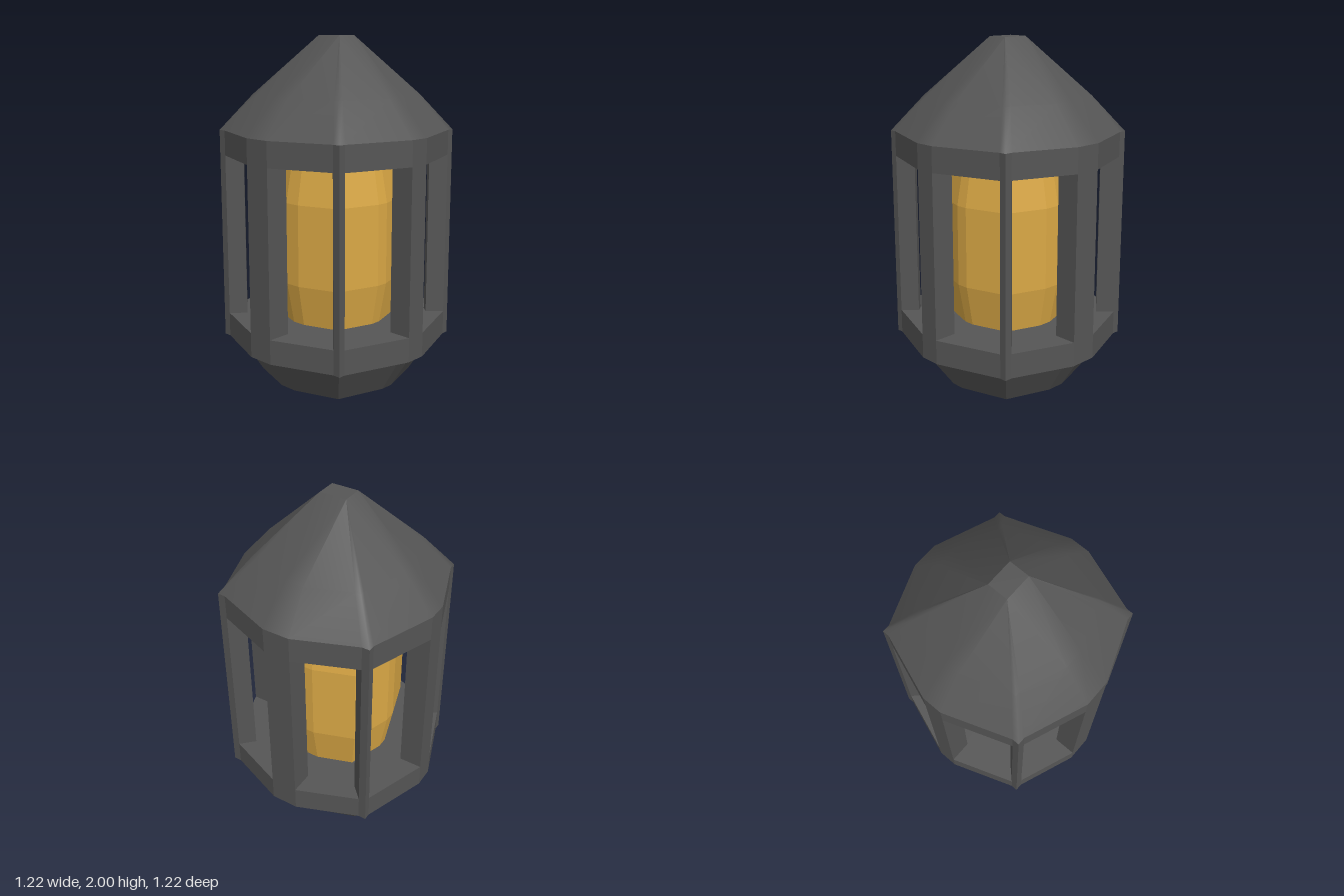
import * as THREE from 'three';

// One quadrant of the outer plan as [x, z]: side flat, square corner, front flat
const QUAD = [[0.61, 0.06], [0.475, 0.435], [0.475, 0.475], [0.43, 0.475], [0.08, 0.61]];
// Simpler plan with a single corner point, for the base and the glowing core
const SIMPLE = [[0.61, 0.06], [0.475, 0.475], [0.08, 0.61]];

// Mirror a polygon by signs, keeping its winding
const mirror = (pts, sx, sz) => {
  const out = pts.map(([x, z]) => [x * sx, z * sz]);
  return sx * sz < 0 ? out.reverse() : out;
};
const fullPlan = (q) => [[1, 1], [-1, 1], [-1, -1], [1, -1]].flatMap(([sx, sz]) => mirror(q, sx, sz));
const scaled = (pts, s) => pts.map(([x, z]) => [x * s, z * s]);

// Side surface through rings of equal point count: rings = [[y, points], ...]
function loftSides(rings, smooth) {
  const pos = [], idx = [], n = rings[0][1].length;
  for (const [y, pts] of rings) for (const [x, z] of pts) pos.push(x, y, z);
  for (let r = 0; r < rings.length - 1; r++) {
    for (let i = 0; i < n; i++) {
      const a = r * n + i, b = r * n + (i + 1) % n;
      idx.push(a, a + n, b, b, a + n, b + n);
    }
  }
  return finish(pos, idx, smooth);
}

// Flat lid on a ring
function cap([y, pts], up) {
  const pos = [], idx = [], n = pts.length;
  for (const [x, z] of pts) pos.push(x, y, z);
  pos.push(pts.reduce((s, p) => s + p[0], 0) / n, y, pts.reduce((s, p) => s + p[1], 0) / n);
  for (let i = 0; i < n; i++) {
    const j = (i + 1) % n;
    if (up) idx.push(n, j, i); else idx.push(n, i, j);
  }
  return finish(pos, idx, false);
}

function finish(pos, idx, smooth) {
  let g = new THREE.BufferGeometry();
  g.setAttribute('position', new THREE.Float32BufferAttribute(pos, 3));
  g.setIndex(idx);
  if (!smooth) g = g.toNonIndexed();
  g.computeVertexNormals();
  return g;
}

export function createModel() {
  const model = new THREE.Group();
  model.name = 'lantern';
  const metal = new THREE.MeshStandardMaterial({ color: 0x555555 });
  metal.name = 'dark metal';
  const glow = new THREE.MeshStandardMaterial({ color: 0xdaa845 });
  glow.name = 'amber glass';

  const addSolid = (name, rings, material, smooth = false) => {
    const part = new THREE.Group();
    part.name = name;
    part.add(
      new THREE.Mesh(loftSides(rings, smooth), material),
      new THREE.Mesh(cap(rings[0], false), material),
      new THREE.Mesh(cap(rings[rings.length - 1], true), material),
    );
    ['Sides', 'Bottom', 'Top'].forEach((s, i) => { part.children[i].name = name + s; });
    model.add(part);
  };

  const outer = fullPlan(QUAD), simple = fullPlan(SIMPLE);

  // Tapered base and the two bands around the windows
  addSolid('base', [[0, scaled(simple, 0.664)], [0.228, scaled(simple, 0.895)]], metal);
  addSolid('lowerBand', [[0.228, outer], [0.37, outer]], metal);
  addSolid('upperBand', [[1.322, outer], [1.466, outer]], metal);

  // Glowing core, tapering at both ends
  addSolid('core', [
    [0.36, scaled(simple, 0.51)], [0.61, scaled(simple, 0.587)],
    [1.08, scaled(simple, 0.587)], [1.33, scaled(simple, 0.51)],
  ], glow);

  // Window posts: front and back, sides, corners
  const post = (name, pts) => addSolid(name, [[0.365, pts], [1.327, pts]], metal);
  for (const s of [1, -1]) {
    post(s > 0 ? 'frontPost' : 'backPost',
      mirror([[0.08, 0.61], [-0.08, 0.61], [-0.08, 0.475], [0.08, 0.475]], 1, s));
    post(s > 0 ? 'leftPost' : 'rightPost',
      mirror([[0.61, -0.06], [0.61, 0.06], [0.475, 0.06], [0.475, -0.06]], s, 1));
    for (const t of [1, -1]) {
      post('cornerPost',
        mirror([[0.475, 0.435], [0.475, 0.475], [0.43, 0.475], [0.355, 0.4], [0.4, 0.36]], s, t));
    }
  }

  // Smooth roof closing to a small rectangular tip
  const clamp = THREE.MathUtils.clamp;
  const tip = outer.map(([x, z]) => [clamp(x, -0.08, 0.08), clamp(z, -0.06, 0.06)]);
  addSolid('roof', [[1.466, outer], [1.67, scaled(outer, 0.71)], [2, tip]], metal, true);

  return model;
}
